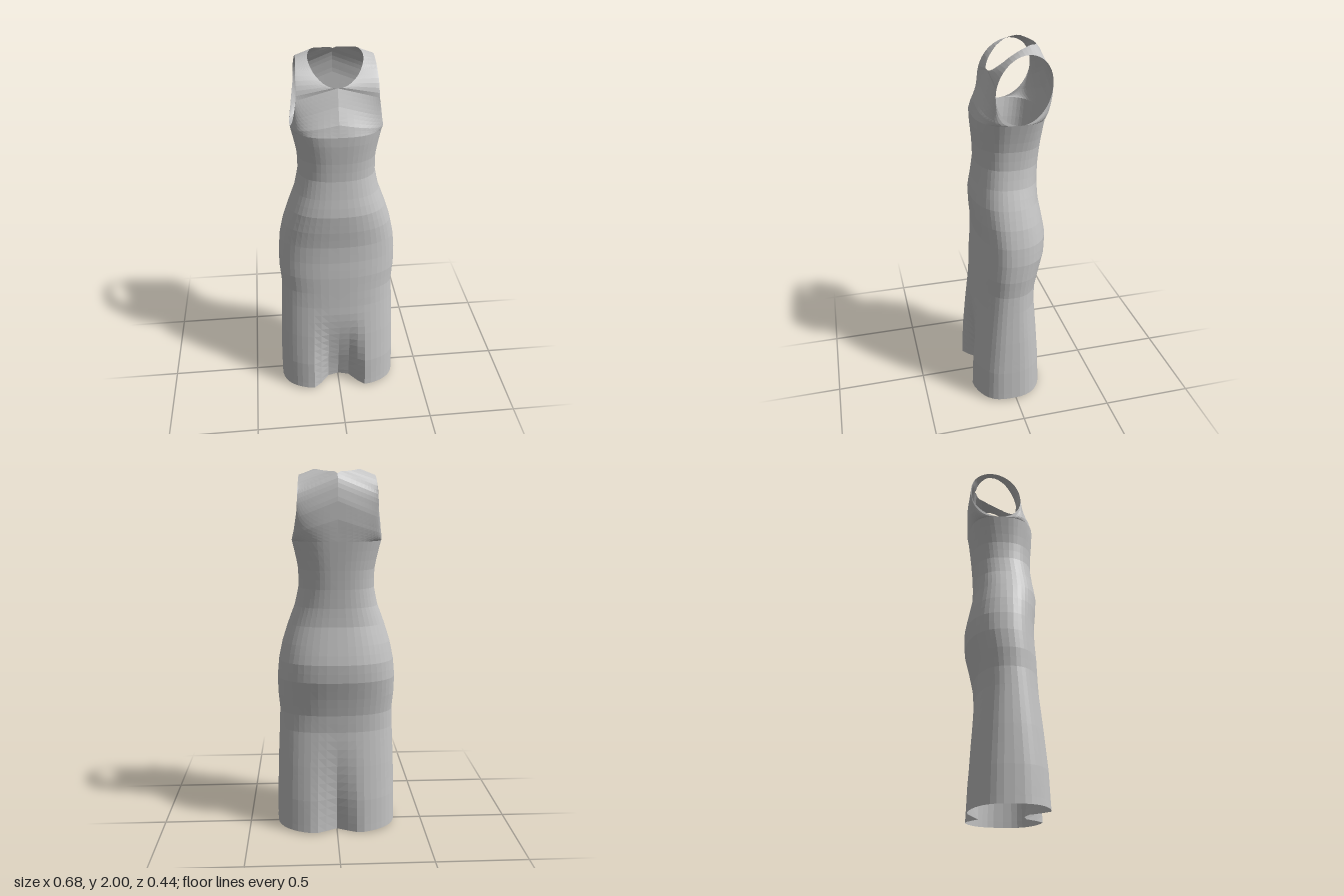
import * as THREE from 'three';

const { lerp, smoothstep } = THREE.MathUtils;
const COLS = 12; // columns from the centre line to the side

// Body sections: height, half width, side z, front z, back z, roundness
const sections = [
  [0.0, 0.34, 0.03, 0.235, -0.19, 2.7], [0.2, 0.337, 0.03, 0.226, -0.182, 2.7],
  [0.4, 0.33, 0.025, 0.208, -0.168, 2.6], [0.6, 0.32, 0.02, 0.186, -0.152, 2.5],
  [0.7, 0.316, 0.015, 0.182, -0.16, 2.4], [0.8, 0.325, 0.01, 0.178, -0.182, 2.4],
  [0.9, 0.325, 0.0, 0.17, -0.208, 2.4], [1.0, 0.315, 0.0, 0.168, -0.212, 2.4],
  [1.1, 0.293, 0.0, 0.178, -0.192, 2.4], [1.2, 0.26, 0.0, 0.184, -0.172, 2.4],
  [1.3, 0.222, 0.0, 0.168, -0.17, 2.4], [1.4, 0.202, -0.01, 0.156, -0.176, 2.4],
  [1.5, 0.205, -0.015, 0.16, -0.186, 2.5], [1.58, 0.222, -0.025, 0.167, -0.195, 2.6],
  [1.64, 0.236, -0.032, 0.168, -0.202, 2.7],
];
// Centre lines above the underarm and the width at the armhole: [height, value]
const chestZ = [[1.64, 0.168], [1.7, 0.152], [1.78, 0.113], [1.86, 0.08]];
const upperBackZ = [[1.64, -0.202], [1.75, -0.212], [1.85, -0.213], [1.92, -0.202], [1.96, -0.188], [1.985, -0.165]];
const armX = [[1.64, 0.236], [1.7, 0.222], [1.8, 0.206], [1.9, 0.202], [1.97, 0.195]];
const neckY = [[-0.165, 1.985], [-0.11, 2.0], [-0.05, 1.982], [0, 1.95], [0.05, 1.9], [0.083, 1.86]];

// Piecewise linear lookup
function look(table, k) {
  let i = 0;
  while (i < table.length - 2 && k > table[i + 1][0]) i++;
  const [a, b] = [table[i], table[i + 1]];
  const t = THREE.MathUtils.clamp((k - a[0]) / (b[0] - a[0]), 0, 1);
  return a.map((v, j) => lerp(v, b[j], t)).slice(1);
}

// Point on the oval neck opening
function neckPoint(angle) {
  const z = -0.041 + 0.124 * Math.cos(angle);
  return [0.137 * Math.sin(angle), look(neckY, z)[0], z];
}

// Point on the tilted oval armhole, from underarm (0) to shoulder (1)
function armPoint(t, sign) {
  const a = t * Math.PI;
  const y = 1.805 - 0.165 * Math.cos(a);
  return [look(armX, y)[0], y, -0.057 + sign * 0.142 * Math.sin(a) + 0.025 * Math.cos(a)];
}

// One horizontal strip of points from the inner edge to the outer edge
function halfRow(inner, outer, n, fold) {
  const row = [];
  for (let j = 0; j <= COLS; j++) {
    const u = Math.pow(Math.sin((j / COLS) * Math.PI / 2), 2 / 2.4);
    const bulge = Math.pow(Math.max(0, 1 - Math.pow(u, n)), 1 / n);
    const x = lerp(inner[0], outer[0], u);
    row.push([x, lerp(inner[1], outer[1], u), lerp(outer[2], inner[2], bulge) + fold(x)]);
  }
  return row;
}

// All strips of the front (sign 1) or back (sign -1) panel, hem to shoulder
function panelRows(sign) {
  const rows = [];
  const front = sign > 0;
  // Skirt and waist, with a soft pleat opening towards the hem
  const bodyRows = 33;
  for (let i = 0; i < bodyRows; i++) {
    const y = 1.64 * i / bodyRows;
    const [w, side, zf, zb, n] = look(sections, y);
    const k = 1 - smoothstep(y, -0.12, front ? 0.6 : 0.65);
    const fold = front
      ? (x) => -0.135 * k * (1 - smoothstep(x, 0.03, 0.165))
      : (x) => 0.085 * k * (1 - smoothstep(x, -0.04, 0.15));
    const hem = i === 0 ? 0.015 : y;
    rows.push(halfRow([0, front ? hem : y, front ? zf : zb], [w, hem, side], n, fold));
  }
  // Bodice and shoulder straps
  const steps = 22;
  const split = front ? 0.5 : 0.7;
  const shoulder = THREE.MathUtils.degToRad(108);
  for (let i = 0; i <= steps; i++) {
    const t = i / steps;
    let inner;
    if (t <= split) {
      const y = lerp(1.64, front ? 1.86 : 1.985, t / split);
      inner = [0, y, look(front ? chestZ : upperBackZ, y)[0]];
    } else {
      inner = neckPoint(lerp(front ? 0 : Math.PI, shoulder, (t - split) / (1 - split)));
    }
    const n = lerp(2.7, 1.3, smoothstep(t, 0.3, 0.8));
    rows.push(halfRow(inner, armPoint(t, sign), n, () => 0));
  }
  return rows;
}

// Mirrors the strips and stitches each side of the neck opening separately
function panelGeometry(sign) {
  const rows = panelRows(sign);
  const positions = [];
  const index = [];
  for (const side of [1, -1]) {
    const base = positions.length / 3;
    for (const row of rows) for (const [x, y, z] of row) positions.push(side * x, y, z);
    const stride = COLS + 1;
    for (let i = 0; i < rows.length - 1; i++) {
      for (let j = 0; j < COLS; j++) {
        const a = base + i * stride + j;
        const [b, c, d] = [a + 1, a + stride + 1, a + stride];
        if (side * sign > 0) index.push(a, b, c, a, c, d);
        else index.push(a, c, b, a, d, c);
      }
    }
  }
  const geometry = new THREE.BufferGeometry();
  geometry.setAttribute('position', new THREE.Float32BufferAttribute(positions, 3));
  geometry.setIndex(index);
  geometry.computeVertexNormals();
  return geometry;
}

export function createModel() {
  const group = new THREE.Group();
  group.name = 'dress';
  const fabric = new THREE.MeshStandardMaterial({ color: 0xc4c4c4, flatShading: true, side: THREE.DoubleSide });
  fabric.name = 'light grey fabric';
  for (const [name, sign] of [['frontPanel', 1], ['backPanel', -1]]) {
    const mesh = new THREE.Mesh(panelGeometry(sign), fabric);
    mesh.name = name;
    group.add(mesh);
  }
  return group;
}
